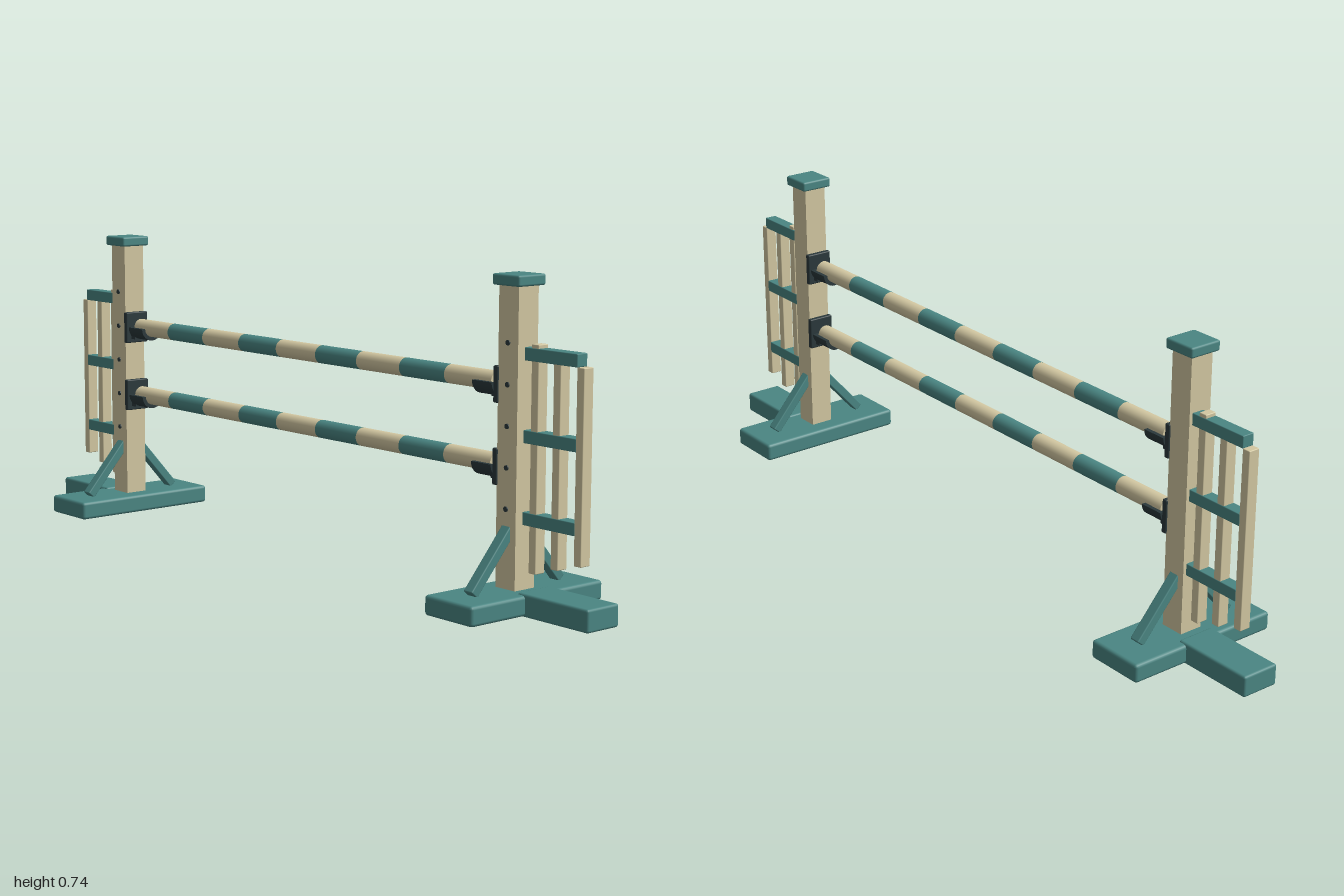
import * as THREE from 'three';
import { RoundedBoxGeometry } from 'three/addons/geometries/RoundedBoxGeometry.js';

export function createModel() {
  const material = (name, color) => {
    const m = new THREE.MeshStandardMaterial({ color });
    m.name = name;
    return m;
  };
  const teal = material('teal paint', 0x4a8683);
  const cream = material('cream paint', 0xd3c8a2);
  const dark = material('dark metal', 0x2a383b);

  const model = new THREE.Group();
  model.name = 'jumpFence';

  const add = (parent, name, geometry, mat, x, y, z) => {
    const mesh = new THREE.Mesh(geometry, mat);
    mesh.name = name;
    mesh.position.set(x, y, z);
    parent.add(mesh);
    return mesh;
  };
  const rounded = (w, h, d, r) => new RoundedBoxGeometry(w, h, d, 2, r);

  const poleHeights = [0.502, 0.32];
  const postX = 0.74;
  const panelZ = -0.006;

  // Half-ring cup that cradles a pole end, running along x
  const ring = new THREE.Shape();
  ring.absarc(0, 0, 0.032, Math.PI, Math.PI * 2, false);
  ring.absarc(0, 0, 0.022, Math.PI * 2, Math.PI, true);
  ring.closePath();
  const cupGeometry = new THREE.ExtrudeGeometry(ring, { depth: 0.062, bevelEnabled: false, curveSegments: 12 });
  cupGeometry.translate(0, 0, -0.031).rotateY(Math.PI / 2);

  // Upright stands, mirrored left and right
  for (const side of [1, -1]) {
    const stand = new THREE.Group();
    stand.name = side > 0 ? 'leftStand' : 'rightStand';
    model.add(stand);
    const px = side * postX;

    // Feet, post and cap
    add(stand, 'crossFoot', rounded(0.15, 0.046, 0.405, 0.008), teal, px, 0.026, 0);
    add(stand, 'outerFoot', rounded(0.21, 0.052, 0.097, 0.006), teal, side * 0.895, 0.027, panelZ);
    add(stand, 'post', new THREE.BoxGeometry(0.06, 0.68, 0.06), cream, px, 0.38, 0);
    add(stand, 'postCap', rounded(0.083, 0.025, 0.083, 0.005), teal, px, 0.73, 0);

    // Diagonal braces, front and back
    for (const dir of [1, -1]) {
      const low = new THREE.Vector3(px, 0.052, dir * 0.135);
      const high = new THREE.Vector3(px, 0.191, dir * 0.014);
      const mid = low.clone().add(high).multiplyScalar(0.5);
      const brace = add(stand, 'brace', rounded(0.027, low.distanceTo(high), 0.023, 0.003), teal, mid.x, mid.y, mid.z);
      brace.quaternion.setFromUnitVectors(new THREE.Vector3(0, 1, 0), high.sub(low).normalize());
    }

    // Peg holes up the front of the post
    for (let i = 0; i < 5; i++) {
      const hole = add(stand, 'pegHole', new THREE.CylinderGeometry(0.006, 0.006, 0.006, 12), dark, px, 0.228 + i * 0.0915, 0.03);
      hole.rotation.x = Math.PI / 2;
    }

    // Side panel: three rails and three stepped slats
    for (const y of [0.571, 0.39, 0.209]) {
      add(stand, 'panelRail', rounded(0.165, 0.029, 0.031, 0.002), teal, side * 0.8425, y, panelZ);
    }
    const slats = [[0.8, 0.09, 0.594], [0.866, 0.11, 0.584], [0.934, 0.129, 0.557]];
    for (const [x, bottom, top] of slats) {
      add(stand, 'panelSlat', rounded(0.021, top - bottom, 0.029, 0.002), cream, side * x, (top + bottom) / 2, panelZ);
    }

    // Pole holders on the inner face of the post
    for (const y of poleHeights) {
      add(stand, 'holderPlate', rounded(0.014, 0.082, 0.068, 0.003), dark, side * 0.705, y - 0.002, 0);
      add(stand, 'holderNeck', new THREE.BoxGeometry(0.022, 0.03, 0.04), dark, side * 0.691, y - 0.017, 0);
      add(stand, 'holderCup', cupGeometry, dark, side * 0.661, y, 0);
    }
  }

  // Striped poles, nine bands each
  const bands = 9;
  const bandLength = 1.36 / bands;
  const bandGeometry = new THREE.CylinderGeometry(0.022, 0.022, bandLength, 24).rotateZ(Math.PI / 2);
  poleHeights.forEach((y, p) => {
    const pole = new THREE.Group();
    pole.name = p === 0 ? 'upperPole' : 'lowerPole';
    model.add(pole);
    for (let i = 0; i < bands; i++) {
      add(pole, 'poleBand', bandGeometry, i % 2 ? teal : cream, (i - (bands - 1) / 2) * bandLength, y, 0);
    }
  });

  return model;
}
